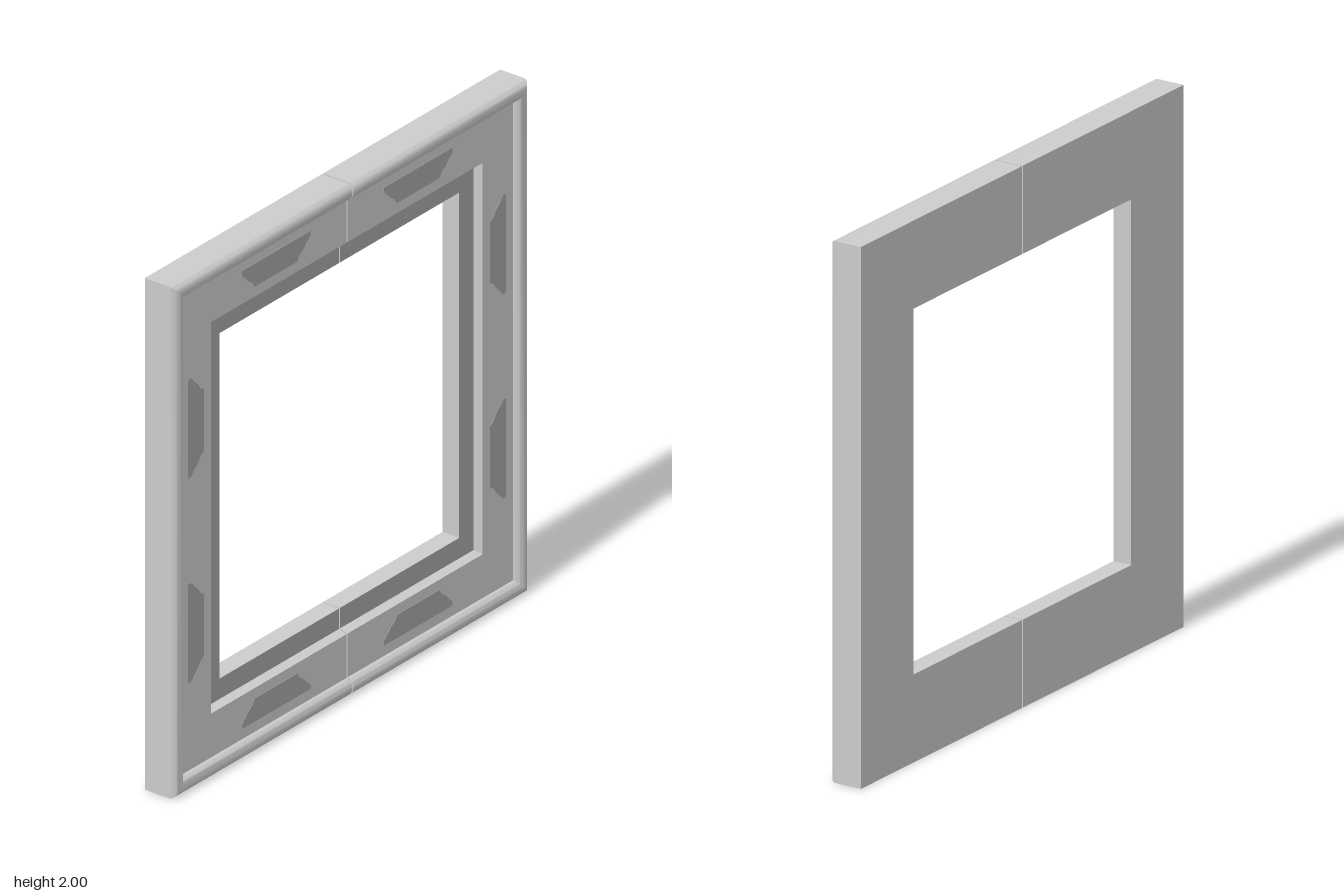
import * as THREE from 'three';
import { toCreasedNormals } from 'three/addons/utils/BufferGeometryUtils.js';

const GAP = 0.003;    // half the width of the centre seam
const FACE = 0.04;    // z of the flat face panel
const FLOOR = 0.007;  // z of the recessed inner ledge
const BACK = -0.067;

// Mitred path of one half of the frame, inset by d from the outer edge
const path = (d) => [[GAP, 2 - d], [1 - d, 2 - d], [1 - d, d], [GAP, d]];

// Sweep a profile of [inset, z] points along the mitred path
function sweep(profile, capped = false) {
  const pos = [];
  const rows = profile.map(([d, z]) => path(d).map(([x, y]) => [x, y, z]));
  for (let i = 0; i < rows.length - 1; i++) {
    for (let j = 0; j < 3; j++) {
      const a = rows[i][j], b = rows[i + 1][j], c = rows[i][j + 1], e = rows[i + 1][j + 1];
      pos.push(...a, ...b, ...c, ...b, ...e, ...c);
    }
  }
  if (capped) {
    const contour = profile.map(([d, z]) => new THREE.Vector2(d, z));
    for (const tri of THREE.ShapeUtils.triangulateShape(contour, [])) {
      for (const j of [0, 3]) for (const k of tri) pos.push(...rows[k][j]);
    }
  }
  const geo = new THREE.BufferGeometry();
  // Regroup cap vertices into whole triangles is unnecessary: each end is pushed three at a time
  geo.setAttribute('position', new THREE.Float32BufferAttribute(pos, 3));
  return toCreasedNormals(geo, 0.6);
}

export function createModel() {
  const light = new THREE.MeshStandardMaterial({ color: 0xcccccc, side: THREE.DoubleSide });
  light.name = 'light grey';
  const dark = new THREE.MeshStandardMaterial({ color: 0xa5a5a5, side: THREE.DoubleSide });
  dark.name = 'mid grey';

  // Body profile: back, outer wall, rounded bead, face panel, sloped step, ledge, opening wall
  const bead = [];
  for (let i = 0; i <= 12; i++) {
    const t = Math.PI * i / 12;
    bead.push([0.032 - 0.032 * Math.cos(t), FACE + 0.027 * Math.sin(t)]);
  }
  const body = sweep([
    [0.325, FLOOR], [0.325, BACK], [0, BACK], ...bead, [0.235, FACE], [0.245, FLOOR],
  ], true);
  const ledge = sweep([[0.245, FLOOR], [0.325, FLOOR]]);

  // Inlay: trapezoid with stepped shoulders, wide side towards the outer edge
  const side = [[0.193, 0.045], [0.193, 0.027], [0.175, 0.012], [0.152, -0.012], [0.133, -0.024], [0.12, -0.045]];
  const outline = [...side, ...side.map(([x, y]) => [-x, y]).reverse()];
  const inlay = new THREE.ExtrudeGeometry(
    new THREE.Shape(outline.map(([x, y]) => new THREE.Vector2(x, y))),
    { depth: 0.002, bevelEnabled: false });

  const model = new THREE.Group();
  model.name = 'squareFrame';
  // Two identical halves, the second turned half a turn about the frame centre
  for (const [name, turn] of [['leftHalf', 0], ['rightHalf', Math.PI]]) {
    const half = new THREE.Group();
    half.name = name;
    half.rotation.z = turn;
    half.position.y = 1;
    const add = (geo, mat, label) => {
      const mesh = new THREE.Mesh(geo, mat);
      mesh.name = label;
      mesh.position.y = -1;
      half.add(mesh);
    };
    add(body, light, 'mouldedFrame');
    add(ledge, dark, 'recessedLedge');
    model.add(half);
  }

  // Two inlays on each of the four sides
  for (let s = 0; s < 4; s++) {
    const rail = new THREE.Group();
    rail.name = 'inlayPair';
    rail.position.y = 1;
    rail.rotation.z = s * Math.PI / 2;
    for (const x of [-0.4, 0.4]) {
      const mesh = new THREE.Mesh(inlay, dark);
      mesh.name = 'inlay';
      mesh.position.set(x, 0.85, FACE - 0.0005);
      rail.add(mesh);
    }
    model.add(rail);
  }
  return model;
}
